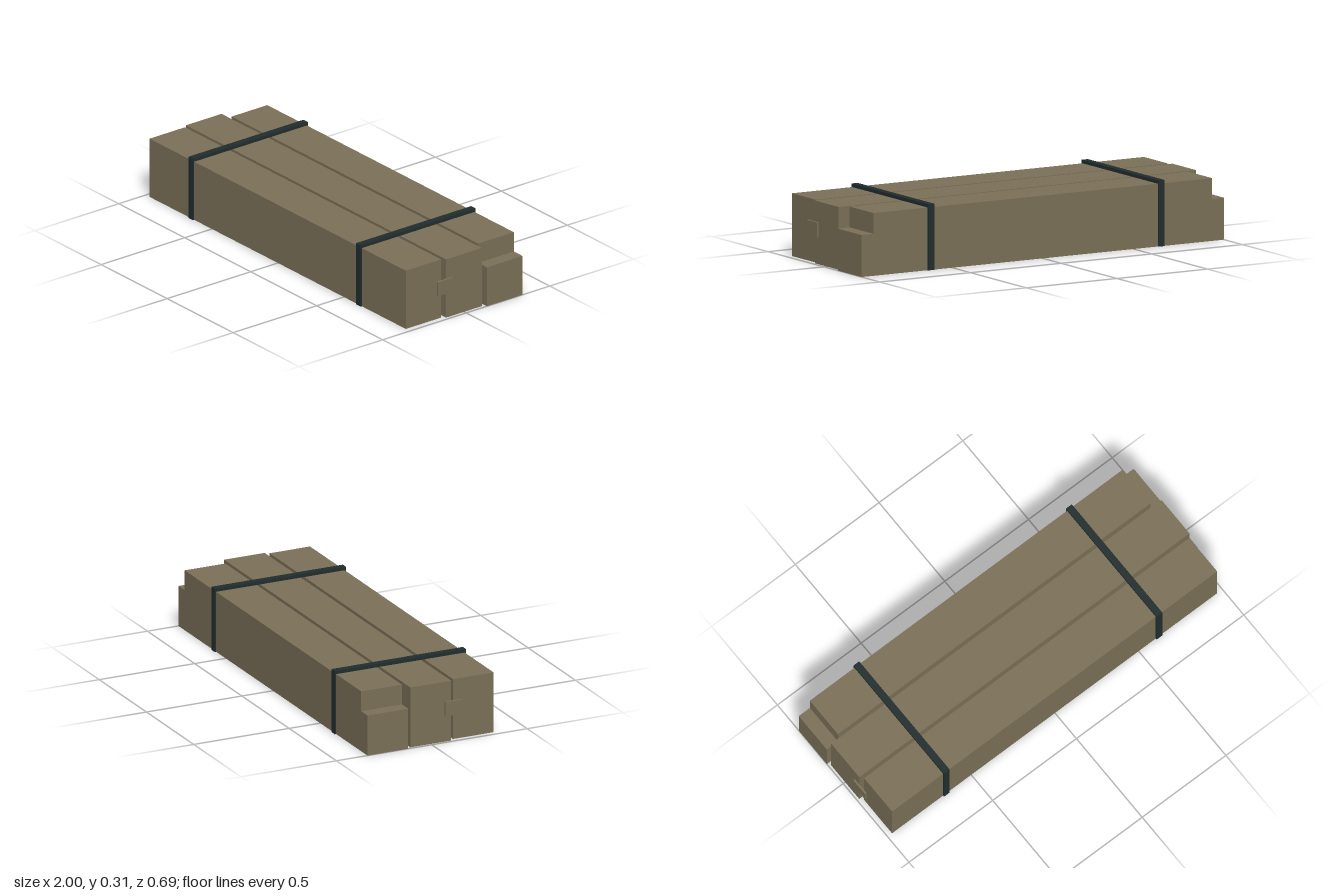
import * as THREE from 'three';

export function createModel() {
  const model = new THREE.Group();
  model.name = 'strappedBeams';
  const wood = new THREE.MeshStandardMaterial({ color: 0x7b7058 });
  wood.name = 'weathered wood';
  const strapMat = new THREE.MeshStandardMaterial({ color: 0x212d2e });
  strapMat.name = 'dark strap';

  // Box given by its lower and upper limits on each axis
  const box = (name, material, [x0, x1], [y0, y1], [z0, z1], parent = model) => {
    const mesh = new THREE.Mesh(new THREE.BoxGeometry(x1 - x0, y1 - y0, z1 - z0), material);
    mesh.position.set((x0 + x1) / 2, (y0 + y1) / 2, (z0 + z1) / 2);
    mesh.name = name;
    parent.add(mesh);
  };

  // Plain beams
  box('frontBeam', wood, [-0.973, 0.969], [0, 0.299], [0.125, 0.337]);
  box('middleBeam', wood, [-0.988, 0.984], [0, 0.299], [-0.106, 0.107]);

  // Back beam with a notch cut into the top of each end
  const profile = new THREE.Shape([
    [-1, 0], [1, 0], [1, 0.2], [0.934, 0.2], [0.934, 0.299],
    [-0.934, 0.299], [-0.934, 0.2], [-1, 0.2],
  ].map(([x, y]) => new THREE.Vector2(x, y)));
  const backBeam = new THREE.Mesh(
    new THREE.ExtrudeGeometry(profile, { depth: 0.213, bevelEnabled: false }), wood);
  backBeam.position.z = -0.337;
  backBeam.name = 'backBeam';
  model.add(backBeam);

  // Small plates bridging the gap at both ends
  box('leftEndPlate', wood, [0.983, 0.993], [0.128, 0.2], [0.073, 0.162]);
  box('rightEndPlate', wood, [-0.997, -0.987], [0.128, 0.2], [0.073, 0.162]);

  // Straps over the top and down both long sides
  for (const x of [-0.651, 0.619]) {
    const strap = new THREE.Group();
    strap.name = 'strap';
    const width = [x - 0.017, x + 0.017];
    box('strapTop', strapMat, width, [0.299, 0.315], [-0.344, 0.344], strap);
    box('strapFront', strapMat, width, [0, 0.299], [0.336, 0.344], strap);
    box('strapBack', strapMat, width, [0, 0.299], [-0.344, -0.336], strap);
    model.add(strap);
  }
  return model;
}
